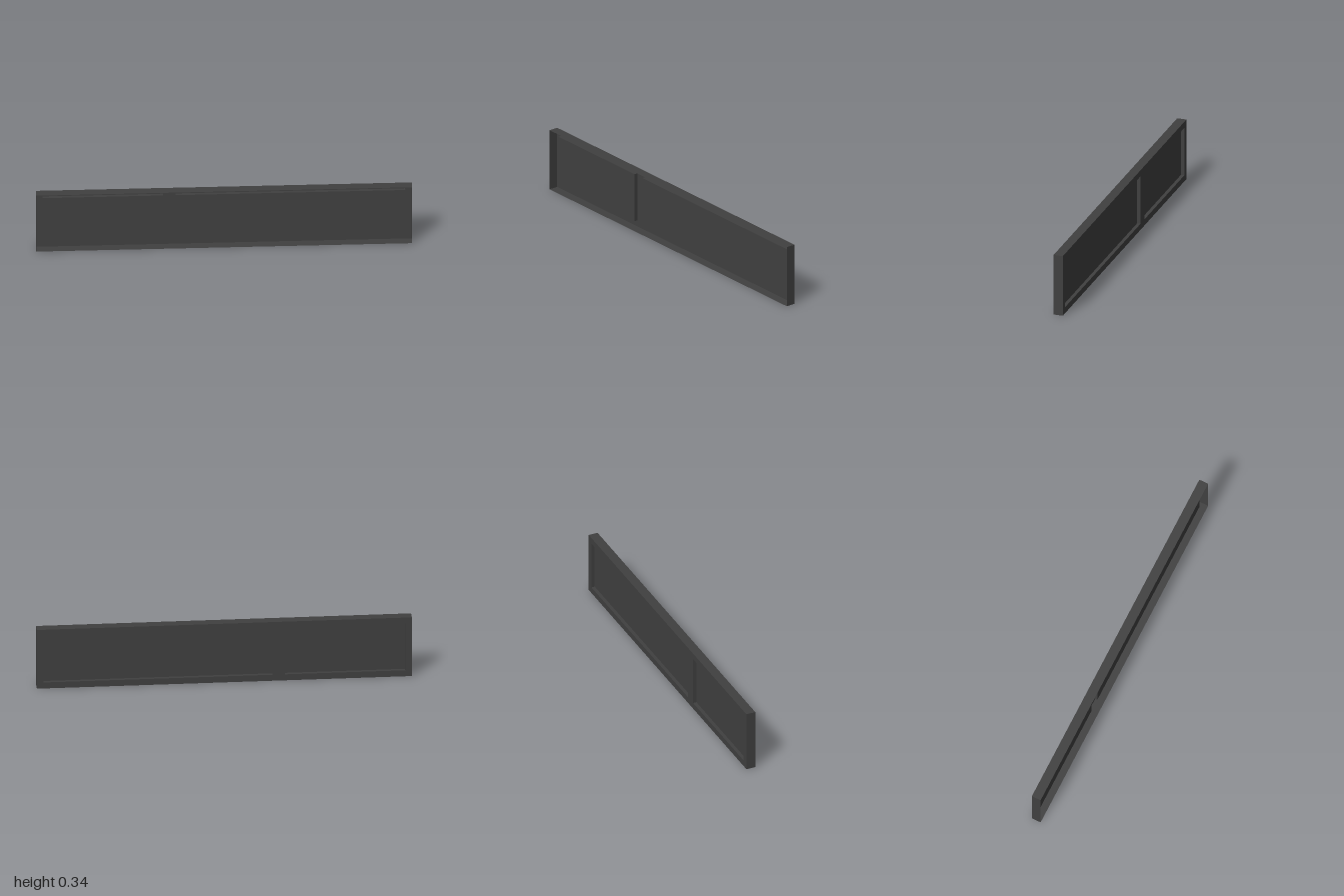
import * as THREE from 'three';

const H = 0.343, BACK = -0.026, FRONT = 0.026, PANEL = -0.007;

// Four flat walls joining a rectangle at z0 to the same rectangle at z1
function walls([x0, x1, y0, y1], z0, z1) {
  const c = [[x0, y0], [x1, y0], [x1, y1], [x0, y1]];
  const pos = [];
  c.forEach(([ax, ay], i) => {
    const [bx, by] = c[(i + 1) % 4];
    pos.push(ax, ay, z0, bx, by, z0, bx, by, z1, ax, ay, z0, bx, by, z1, ax, ay, z1);
  });
  const g = new THREE.BufferGeometry();
  g.setAttribute('position', new THREE.Float32BufferAttribute(pos, 3));
  g.computeVertexNormals();
  return g;
}

function rectangle(path, [x0, x1, y0, y1]) {
  path.moveTo(x0, y0).lineTo(x1, y0).lineTo(x1, y1).lineTo(x0, y1).closePath();
  return path;
}

export function createModel() {
  const group = new THREE.Group();
  const charcoal = new THREE.MeshStandardMaterial({ color: 0x404040, side: THREE.DoubleSide });
  charcoal.name = 'charcoal';

  const add = (name, geometry) => {
    const mesh = new THREE.Mesh(geometry, charcoal);
    mesh.name = name;
    group.add(mesh);
    return mesh;
  };

  const outer = [-1, 1, 0, H];
  const panels = {
    shortPanel: [-0.965, -0.324, 0.035, 0.308],
    longPanel: [-0.257, 0.965, 0.035, 0.308],
  };

  // Outer rim, open at the front
  add('outerRim', walls(outer, BACK, FRONT));

  // Back frame with two openings; the shape is turned to face backwards
  const frame = rectangle(new THREE.Shape(), outer.map((v, i) => (i < 2 ? -v : v)));
  for (const [x0, x1, y0, y1] of Object.values(panels)) {
    frame.holes.push(rectangle(new THREE.Path(), [-x1, -x0, y0, y1]));
  }
  const frameGeometry = new THREE.ShapeGeometry(frame);
  frameGeometry.rotateY(Math.PI).translate(0, 0, BACK);
  add('backFrame', frameGeometry);

  // Panels pressed forward from the back frame, with their side walls
  for (const [name, rect] of Object.entries(panels)) {
    const [x0, x1, y0, y1] = rect;
    add(name + 'Sides', walls(rect, BACK, PANEL));
    const face = new THREE.PlaneGeometry(x1 - x0, y1 - y0);
    add(name, face).position.set((x0 + x1) / 2, (y0 + y1) / 2, PANEL);
  }

  return group;
}
